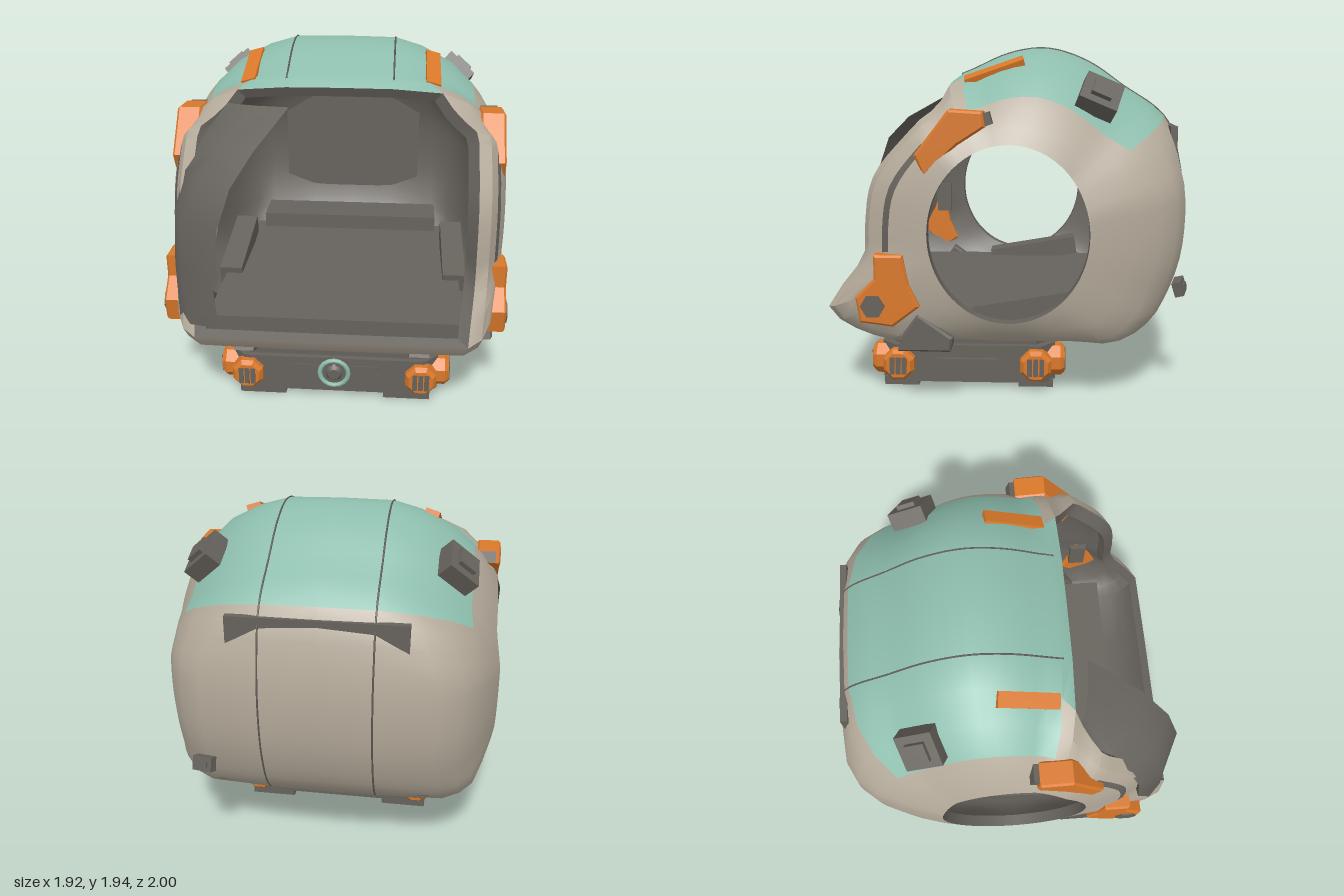
import * as THREE from 'three';
import { toCreasedNormals } from 'three/addons/utils/BufferGeometryUtils.js';

const mat = (name, color, side = THREE.FrontSide) => {
  const m = new THREE.MeshStandardMaterial({ color, side });
  m.name = name;
  return m;
};

export function createModel() {
  const model = new THREE.Group();
  const beige = mat('beige shell', 0xb5ab9b);
  const teal = mat('teal roof', 0x8dbdad);
  const orange = mat('orange fittings', 0xd9782a);
  const grey = mat('dark grey', 0x66625c, THREE.DoubleSide);

  const add = (name, geo, material, pos = [0, 0, 0], rot = [0, 0, 0], parent = model) => {
    const m = new THREE.Mesh(geo, material);
    m.name = name;
    m.position.set(...pos);
    m.rotation.set(...rot);
    parent.add(m);
    return m;
  };
  const box = (name, size, material, pos, rot, parent) =>
    add(name, new THREE.BoxGeometry(...size), material, pos, rot, parent);

  // Side profile of the cabin: radius by angle (degrees, 0 = front, 90 = up)
  const CY = 0.97;
  const keys = [[50, .75], [60, .78], [66, .855], [77, .885], [90, .945], [101, .985], [115, .99], [130, .985],
    [148, 1.05], [160, 1.02], [180, .99], [195, .985], [212, .97], [226, .89], [240, .73], [270, .63], [300, .73],
    [320, .98], [330, 1.08], [336, 1.1], [341, .97], [348, .82], [360, .78], [380, .78], [400, .745], [410, .75],
    [420, .78], [426, .855], [437, .885]];
  const radius = new THREE.CubicInterpolant(keys.map(k => k[0]), keys.map(k => k[1]), 1);

  // Cross stations from the middle to the side hole: eight x values, then eight blends (1 = profile, 0 = hole)
  const front = [0, .3, .77, .84, .88, .9, .93, .95, 1, 1, 1, .9, .68, .58, .3, 0];
  const top = [0, .3, .46, .64, .77, .82, .88, .92, 1, .99, .9, .72, .48, .36, .17, 0];
  const back = [0, .3, .62, .74, .82, .88, .93, .95, 1, .99, .93, .82, .65, .42, .15, 0];
  const bottom = [0, .3, .7, .78, .84, .89, .93, .95, 1, 1, .99, .92, .8, .5, .2, 0];
  const zones = new THREE.LinearInterpolant([50, 75, 138, 165, 205, 230, 325, 348, 410, 435],
    [front, top, top, back, back, bottom, bottom, front, front, top].flat(), 16);

  const point = (deg, j, side, inner) => {
    const a = THREE.MathUtils.degToRad(deg);
    const R = radius.evaluate(deg)[0];
    const z = zones.evaluate(deg);
    const x = z[j], s = z[8 + j];
    const hole = 1 / Math.hypot(Math.cos(a) / 0.42, Math.sin(a) / 0.465);
    const r = hole + (R - (inner ? 0.06 : 0) - hole) * s;
    return [side * x * (inner ? 0.93 : 1), CY + r * Math.sin(a), r * Math.cos(a)];
  };

  // Cabin shell: outer skin in panels, grey lining and the lips of the openings
  const skins = { shell: [], roof: [], lining: [], groove: [] };
  const quad = (list, a, b, c, d, flip) =>
    list.push(...(flip ? [a, c, b, a, d, c] : [a, b, c, a, c, d]).flat());
  for (const side of [1, -1]) {
    for (let t = 66; t < 426; t += 5) {
      const open = t >= 336;
      for (let j = open ? 2 : 0; j < 7; j++) {
        const q = inner => [point(t, j, side, inner), point(t, j + 1, side, inner),
          point(t + 5, j + 1, side, inner), point(t + 5, j, side, inner)];
        const isRoof = t < 146 && j < (t < 71 ? 2 : 4);
        const isGroove = j === 4 && t >= 350 && t < 406;
        quad(isRoof ? skins.roof : isGroove ? skins.groove : skins.shell, ...q(false), side < 0);
        quad(skins.lining, ...q(true), side > 0);
      }
      for (const j of open ? [2, 7] : [7])
        quad(skins.lining, point(t, j, side, false), point(t, j, side, true),
          point(t + 5, j, side, true), point(t + 5, j, side, false), (side < 0) === (j === 7));
    }
    for (const t of [66, 336]) for (let j = 0; j < 2; j++)
      quad(skins.lining, point(t, j, side, false), point(t, j + 1, side, false),
        point(t, j + 1, side, true), point(t, j, side, true), (side < 0) === (t === 66));
  }
  const skinMat = { shell: beige, roof: teal, lining: grey, groove: grey };
  for (const name in skins) {
    const g = new THREE.BufferGeometry();
    g.setAttribute('position', new THREE.Float32BufferAttribute(skins[name], 3));
    add(name, toCreasedNormals(g, 0.6), skinMat[name]);
  }

  // Panel seams over the roof and down the back
  for (const side of [1, -1]) {
    const pts = [];
    for (let t = 70; t <= 215; t += 5) pts.push(new THREE.Vector3(...point(t, 1, side, false)));
    add('panelSeam', new THREE.TubeGeometry(new THREE.CatmullRomCurve3(pts), 60, 0.005, 4), grey);
  }

  // Broken visor shard on the -x side, built from four-point rows
  const rows = [
    [.58, -.78, .86, -.84, .88, -.76, .96, -.6, .99], [.85, -.8, .75, -.88, .76, -.81, .9, -.62, .99],
    [1.15, -.8, .7, -.87, .72, -.8, .86, -.58, .98], [1.35, -.8, .58, -.82, .63, -.72, .79, -.52, .9],
    [1.5, -.75, .48, -.74, .53, -.62, .67, -.42, .74], [1.66, -.62, .37, -.58, .39, -.45, .42, -.27, .44]];
  const shard = [];
  const sp = (i, k) => [rows[i][1 + 2 * k], rows[i][0], rows[i][2 + 2 * k]];
  for (let i = 0; i < 5; i++) for (let k = 0; k < 3; k++)
    quad(shard, sp(i, k), sp(i, k + 1), sp(i + 1, k + 1), sp(i + 1, k), false);
  const shardGeo = new THREE.BufferGeometry();
  shardGeo.setAttribute('position', new THREE.Float32BufferAttribute(shard, 3));
  add('visorShard', toCreasedNormals(shardGeo, 1), grey);

  // Cabin interior
  box('cabinFloor', [1.46, .1, 1.35], grey, [0, .45, .05]);
  box('rearBench', [1.2, .16, .25], grey, [0, .52, -.66]);
  box('backPanel', [.95, .8, .04], grey, [0, 1.1, -.9]);
  for (const s of [1, -1]) {
    box('sideConsole', [.14, .12, .6], grey, [s * .7, .53, -.1], [.17, 0, 0]);
    box('wallVent', [.03, .2, .1], grey, [s * .76, .9, .55]);
  }

  // Plate cut from a (z, y) outline, spanning x0 to x1 on the +x side
  const sidePlate = (outline, x0, x1, bevel = .012) => {
    const g = new THREE.ExtrudeGeometry(new THREE.Shape(outline.map(([z, y]) => new THREE.Vector2(-z, y))),
      { depth: x1 - x0 - 2 * bevel, bevelEnabled: bevel > 0, bevelSize: bevel, bevelThickness: bevel, bevelSegments: 1 });
    return g.rotateY(Math.PI / 2).translate(x0 + bevel, 0, 0);
  };
  const mirrorX = g => {
    const m = g.index ? g.toNonIndexed() : g.clone();
    const p = m.attributes.position;
    for (let i = 0; i < p.count; i += 3) {
      const v = [0, 2, 1].map(k => [-p.getX(i + k), p.getY(i + k), p.getZ(i + k)]);
      v.forEach((c, k) => p.setXYZ(i + k, ...c));
    }
    m.computeVertexNormals();
    return m;
  };
  const both = (name, g, material) => {
    add(name, g, material);
    add(name, mirrorX(g), material);
  };

  // Orange clasps and dark wedges on both flanks
  both('upperClasp', sidePlate([[.47, 1.38], [.43, 1.29], [.27, 1.44], [.13, 1.53], [.14, 1.59], [.3, 1.6]], .79, .93), orange);
  both('upperClaspInset', sidePlate([[.2, 1.57], [.2, 1.5], [.08, 1.54], [.1, 1.6]], .8, .9, 0), grey);
  both('lowerClasp', sidePlate([[.69, .85], [.56, .85], [.53, .7], [.48, .59], [.61, .49], [.77, .51], [.79, .63], [.69, .73]], .83, .95), orange);
  both('claspBolt', new THREE.CylinderGeometry(.065, .065, .03, 6).rotateZ(Math.PI / 2).translate(.945, .59, .71), grey);
  both('lowerWedge', sidePlate([[.55, .42], [.48, .52], [.31, .4], [.32, .34], [.58, .34]], .76, .91), grey);

  for (const s of [1, -1]) {
    // Roof tabs, roof blocks and sill plates
    box('roofTab', [.085, .07, .34], orange, [s * .515, 1.79, .09], [.33, 0, -s * .3]);
    const block = box('roofBlock', [.2, .1, .21], grey, [s * .69, 1.67, -.47], [-.4, 0, -s * .75]);
    box('roofBlockCap', [.11, .03, .11], grey, [0, .06, 0], [0, 0, 0], block);
    box('sillPlate', [.11, .03, .17], grey, [s * .48, .395, .865], [-.46, 0, 0]);
  }
  box('rearVent', [.12, .08, .05], grey, [.63, .63, -.93], [.3, -.3, 0]);
  box('rearVentSlot', [.07, .03, .06], grey, [.63, .63, -.935], [.3, -.3, 0]);

  // Base block with cut corners
  const base = new THREE.Group();
  base.name = 'base';
  base.position.z = .25;
  model.add(base);
  const slab = (name, w, d, c, y0, y1) => {
    const pts = [[w, d - c], [w - c, d], [c - w, d], [-w, d - c], [-w, c - d], [c - w, -d], [w - c, -d], [w, c - d]];
    const g = new THREE.ExtrudeGeometry(new THREE.Shape(pts.map(p => new THREE.Vector2(...p))),
      { depth: y1 - y0, bevelEnabled: false });
    add(name, g.rotateX(-Math.PI / 2).translate(0, y0, 0), grey, [0, 0, 0], [0, 0, 0], base);
  };
  slab('baseLower', .6, .5, .08, .04, .26);
  slab('baseStep', .57, .47, .08, .26, .31);
  slab('baseTop', .6, .53, .08, .31, .36);
  for (const sx of [1, -1]) for (const sz of [1, -1])
    box('foot', [.27, .05, .2], grey, [sx * .42, .025, sz * .39], [0, 0, 0], base);

  // Octagonal corner knobs with slatted faces
  const knob = (x, z, turn) => {
    const k = new THREE.Group();
    k.name = 'cornerKnob';
    k.position.set(x, .155, z);
    k.rotation.y = turn;
    base.add(k);
    const lathe = new THREE.LatheGeometry([[.095, -.05], [.095, .03], [.075, .055], [0, .055]].map(p => new THREE.Vector2(...p)), 8);
    add('knobBody', toCreasedNormals(lathe.rotateX(Math.PI / 2), .3), orange, [0, 0, 0], [0, 0, Math.PI / 8], k);
    for (const i of [-1, 0, 1]) box('knobSlat', [.027, .1, .008], grey, [i * .034, 0, .056], [0, 0, 0], k);
  };
  for (const s of [1, -1]) for (const e of [1, -1]) {
    knob(s * .5, e * .5, e > 0 ? 0 : Math.PI);
    knob(s * .61, e * .39, s * Math.PI / 2);
  }

  // Teal ringed ports at the front and back of the base
  for (const e of [1, -1]) {
    const port = new THREE.Group();
    port.name = 'port';
    port.position.set(0, .165, e * .505);
    port.rotation.y = e > 0 ? 0 : Math.PI;
    base.add(port);
    add('portRing', new THREE.TorusGeometry(.083, .014, 6, 16), teal, [0, 0, 0], [0, 0, 0], port);
    add('portHub', new THREE.CylinderGeometry(.035, .06, .03, 8).rotateX(Math.PI / 2), grey, [0, 0, .005], [0, 0, 0], port);
    box('basePanel', [.5, .1, .02], grey, [0, 0, -.01], [0, 0, 0], port);
  }
  for (const s of [1, -1]) box('sidePanel', [.03, .11, .36], grey, [s * .605, .13, 0], [0, 0, 0], base);

  return model;
}
